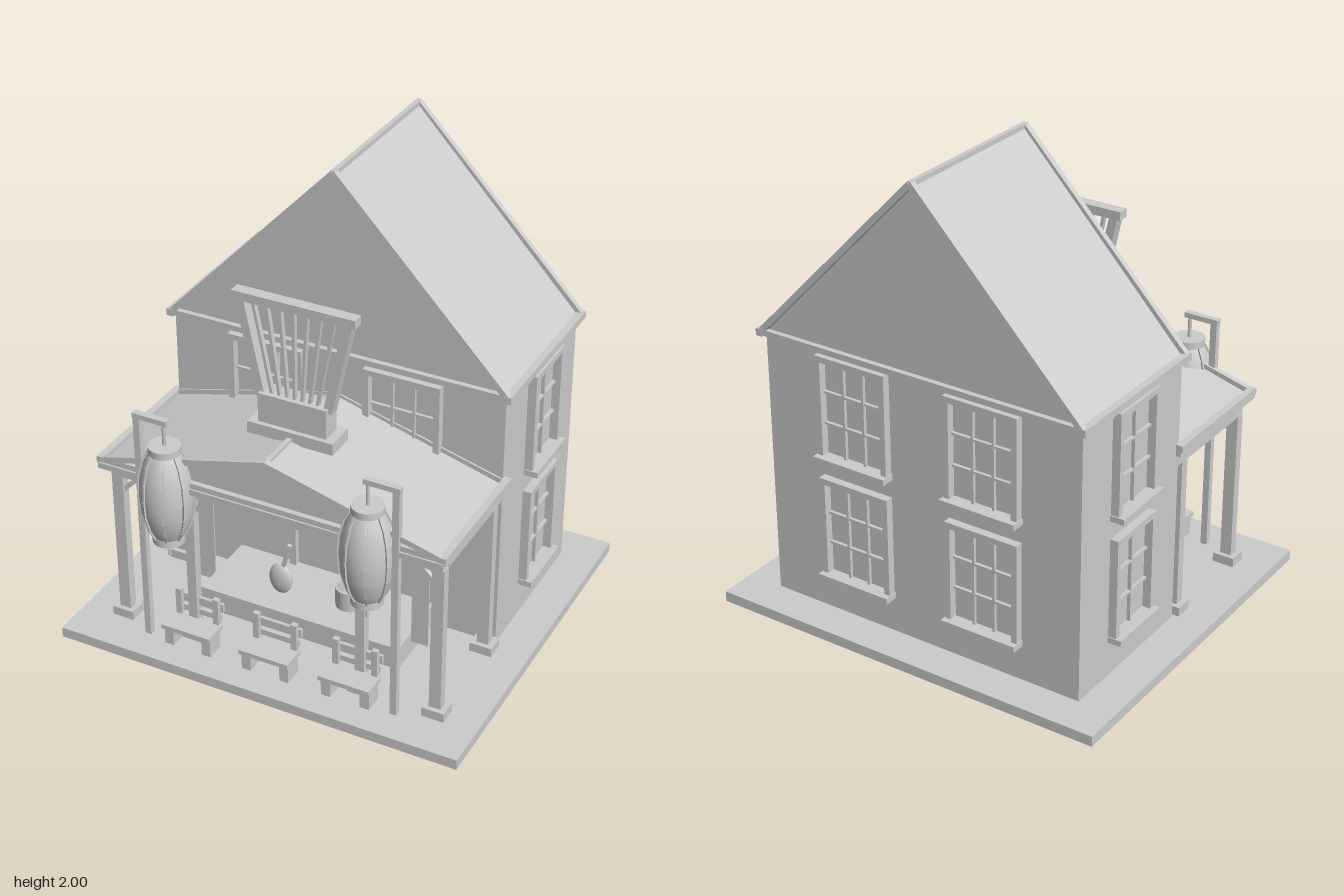
import * as THREE from 'three';

const grey = new THREE.MeshStandardMaterial({ color: 0xcccccc });
grey.name = 'pale grey';

function add(parent, name, geometry, x = 0, y = 0, z = 0) {
  const m = new THREE.Mesh(geometry, grey);
  m.name = name;
  m.position.set(x, y, z);
  parent.add(m);
  return m;
}

// Box given by its low and high corner on each axis
function box(parent, name, x0, x1, y0, y1, z0, z1) {
  return add(parent, name, new THREE.BoxGeometry(x1 - x0, y1 - y0, z1 - z0),
    (x0 + x1) / 2, (y0 + y1) / 2, (z0 + z1) / 2);
}

// Square bar running between two points
function bar(parent, name, a, b, w = 0.025, d = w) {
  const p = new THREE.Vector3(...a), q = new THREE.Vector3(...b);
  const m = add(parent, name, new THREE.BoxGeometry(w, p.distanceTo(q), d));
  m.position.copy(p).add(q).multiplyScalar(0.5);
  m.quaternion.setFromUnitVectors(new THREE.Vector3(0, 1, 0), q.sub(p).normalize());
  return m;
}

function group(parent, name, x = 0, y = 0, z = 0) {
  const g = new THREE.Group();
  g.name = name;
  g.position.set(x, y, z);
  parent.add(g);
  return g;
}

// Gabled roof: a solid prism with trim along every edge
function gableRoof(parent, name, half, eave, ridge, z0, z1) {
  const g = group(parent, name);
  const shape = new THREE.Shape([[-half, eave], [half, eave], [0, ridge]].map(p => new THREE.Vector2(...p)));
  add(g, 'roofBody', new THREE.ExtrudeGeometry(shape, { depth: z1 - z0, bevelEnabled: false }), 0, 0, z0);
  bar(g, 'ridgeTrim', [0, ridge, z0 - 0.02], [0, ridge, z1 + 0.02], 0.02);
  for (const s of [-1, 1]) {
    bar(g, 'eaveTrim', [s * half, eave + 0.01, z0 - 0.025], [s * half, eave + 0.01, z1 + 0.025], 0.03);
    for (const z of [z0 - 0.01, z1 + 0.01]) {
      bar(g, 'gableTrim', [s * half, eave + 0.01, z], [0, ridge, z], 0.025);
    }
  }
  for (const z of [z0 - 0.01, z1 + 0.01]) {
    bar(g, 'gableBaseTrim', [-half, eave + 0.012, z], [half, eave + 0.012, z], 0.025);
  }
}

// Framed window facing local +z, its frame standing on y
function windowUnit(parent, x, y, z, turn, w, cols) {
  const g = group(parent, 'window', x, y, z);
  g.rotation.y = turn;
  const h = 0.445, f = 0.025, hw = w / 2;
  for (const s of [-1, 1]) {
    box(g, 'windowJamb', s * (hw - f / 2) - f / 2, s * (hw - f / 2) + f / 2, 0, h, 0, 0.035);
  }
  box(g, 'windowHead', -hw + f, hw - f, h - f, h, 0, 0.035);
  box(g, 'windowSill', -hw - 0.005, hw + 0.005, -0.01, 0.015, 0, 0.06);
  for (let i = 1; i < cols; i++) {
    const px = -hw + f + (w - 2 * f) * i / cols;
    box(g, 'glazingBar', px - 0.005, px + 0.005, 0.015, h - f, 0, 0.015);
  }
  for (let i = 1; i < 3; i++) {
    const py = 0.015 + (h - f - 0.015) * i / 3;
    box(g, 'glazingBar', -hw + f, hw - f, py - 0.005, py + 0.005, 0, 0.014);
  }
}

function chair(parent, x) {
  const g = group(parent, 'chair', x, 0.045, 0);
  box(g, 'chairSeat', -0.11, 0.11, 0.08, 0.1, 0.585, 0.695);
  for (const s of [-1, 1]) {
    box(g, 'chairLeg', s * 0.085 - 0.02, s * 0.085 + 0.02, 0, 0.08, 0.6, 0.68);
    box(g, 'chairBackPost', s * 0.085 - 0.013, s * 0.085 + 0.013, 0.08, 0.22, 0.575, 0.597);
  }
  box(g, 'chairBackRail', -0.11, 0.11, 0.155, 0.192, 0.563, 0.578);
  box(g, 'chairLowRail', -0.1, 0.1, 0.11, 0.135, 0.565, 0.578);
}

function lantern(parent, s) {
  const g = group(parent, 'lantern', s * 0.435, 0, 0.65);
  const profile = [[0.0, 0.545], [0.06, 0.545], [0.062, 0.575], [0.085, 0.62], [0.103, 0.69], [0.108, 0.765],
    [0.103, 0.84], [0.085, 0.91], [0.062, 0.955], [0.06, 0.985], [0, 0.985]];
  add(g, 'lanternBody', new THREE.LatheGeometry(profile.slice(2, 9).map(p => new THREE.Vector2(...p)), 32));
  for (const y of [0.56, 0.97]) add(g, 'lanternCollar', new THREE.CylinderGeometry(0.065, 0.065, 0.03, 24), 0, y, 0);
  // Eight upright ribs following the body
  for (let i = 0; i < 8; i++) {
    const rib = group(g, 'lanternRib');
    rib.rotation.y = (i + 0.5) * Math.PI / 4;
    for (let k = 2; k < 8; k++) {
      bar(rib, 'ribPiece', [...profile[k], 0], [...profile[k + 1], 0], 0.014, 0.008);
    }
  }
  add(g, 'lanternTassel', new THREE.CylinderGeometry(0.006, 0.006, 0.08, 8), 0, 0.51, 0);
  add(g, 'lanternHanger', new THREE.CylinderGeometry(0.008, 0.008, 0.11, 8), 0, 1.035, 0);
  const px = s * 0.553;
  box(parent, 'lanternPole', px - 0.014, px + 0.014, 0.045, 1.09, 0.632, 0.66);
  box(parent, 'lanternArm', Math.min(s * 0.57, s * 0.418), Math.max(s * 0.57, s * 0.418), 1.075, 1.097, 0.632, 0.66);
}

function post(parent, x, z, w) {
  box(parent, 'porchPost', x - w / 2, x + w / 2, 0.045, 0.74, z - 0.02, z + 0.02);
  box(parent, 'postFoot', x - w / 2 - 0.023, x + w / 2 + 0.023, 0.045, 0.085, z - 0.04, z + 0.04);
}

export function createModel() {
  const root = new THREE.Group();
  root.name = 'shopHouse';

  // Ground slab, walls and main roof
  box(root, 'groundSlab', -0.885, 0.885, 0, 0.045, -0.79, 0.79);
  box(root, 'houseWalls', -0.725, 0.725, 0.045, 1.2, -0.63, 0.07);
  gableRoof(root, 'mainRoof', 0.738, 1.2, 1.985, -0.635, 0.07);

  // Windows on the back, sides and upper front
  for (const s of [-1, 1]) {
    for (const y of [0.21, 0.745]) {
      windowUnit(root, s * 0.3, y, -0.63, Math.PI, 0.33, 3);
      windowUnit(root, s * 0.725, y, -0.285, s * Math.PI / 2, 0.28, 2);
    }
    windowUnit(root, s * 0.3, 0.745, 0.07, 0, 0.33, 3);
  }

  // Door
  const door = group(root, 'door');
  for (const s of [-1, 1]) box(door, 'doorJamb', s * 0.19 - 0.015, s * 0.19 + 0.015, 0.045, 0.655, 0.07, 0.095);
  box(door, 'doorHead', -0.175, 0.175, 0.63, 0.655, 0.07, 0.095);
  box(door, 'doorRail', -0.16, 0.155, 0.395, 0.412, 0.07, 0.09);

  // Porch frame and roof
  const porch = group(root, 'porch');
  gableRoof(porch, 'porchRoof', 0.738, 0.815, 1.02, 0.075, 0.625);
  box(porch, 'porchCeiling', -0.745, 0.745, 0.79, 0.816, 0.05, 0.655);
  box(porch, 'frontBeam', -0.72, 0.72, 0.735, 0.79, 0.55, 0.6);
  for (const s of [-1, 1]) {
    box(porch, 'sideBeam', s * 0.7 - 0.024, s * 0.7 + 0.024, 0.736, 0.79, 0.07, 0.55);
    post(porch, s * 0.7, 0.575, 0.05);
    post(porch, s * 0.7, 0.125, 0.05);
    post(porch, s * 0.375, 0.575, 0.04);
    for (const [x, dir] of [[0.7, -1], [0.375, 1], [0.375, -1]]) {
      bar(porch, 'postBrace', [s * x, 0.645, 0.575], [s * (x + dir * 0.1), 0.745, 0.575], 0.018);
    }
    box(porch, 'hangingStrip', s * 0.488 - 0.037, s * 0.488 + 0.037, 0.105, 0.735, 0.28, 0.288);
    lantern(porch, s);
  }
  box(porch, 'platform', -0.45, 0.45, 0.045, 0.145, 0.07, 0.405);

  // Bucket and ladle on the platform
  const wall = [[0, 0.145], [0.06, 0.145], [0.062, 0.235], [0.053, 0.235], [0.05, 0.165], [0, 0.165]];
  const bucket = new THREE.LatheGeometry(wall.map(p => new THREE.Vector2(...p)), 24).toNonIndexed();
  bucket.computeVertexNormals();
  add(root, 'bucket', bucket, 0.145, 0, 0.225);
  const bowl = add(root, 'ladleBowl', new THREE.SphereGeometry(1, 24, 16), -0.14, 0.218, 0.287);
  bowl.scale.set(0.052, 0.072, 0.025);
  bar(root, 'ladleHandle', [-0.13, 0.27, 0.287], [-0.097, 0.395, 0.287], 0.016);

  for (const x of [-0.355, 0, 0.355]) chair(root, x);

  // Fan-shaped slatted sign on the porch ridge
  const sign = group(root, 'roofSign');
  box(sign, 'signPlinth', -0.185, 0.185, 1.005, 1.055, 0.325, 0.45);
  box(sign, 'signBlock', -0.147, 0.147, 1.055, 1.18, 0.345, 0.43);
  box(sign, 'signTopRail', -0.26, 0.26, 1.553, 1.59, 0.365, 0.415);
  for (const s of [-1, 1]) bar(sign, 'signSide', [s * 0.143, 1.16, 0.39], [s * 0.228, 1.56, 0.39], 0.036, 0.045);
  for (let i = -3; i <= 3; i++) {
    bar(sign, 'signSlat', [i * 0.032, 1.17, 0.4], [i * 0.057, 1.56, 0.4], 0.012, 0.02);
  }
  return root;
}
